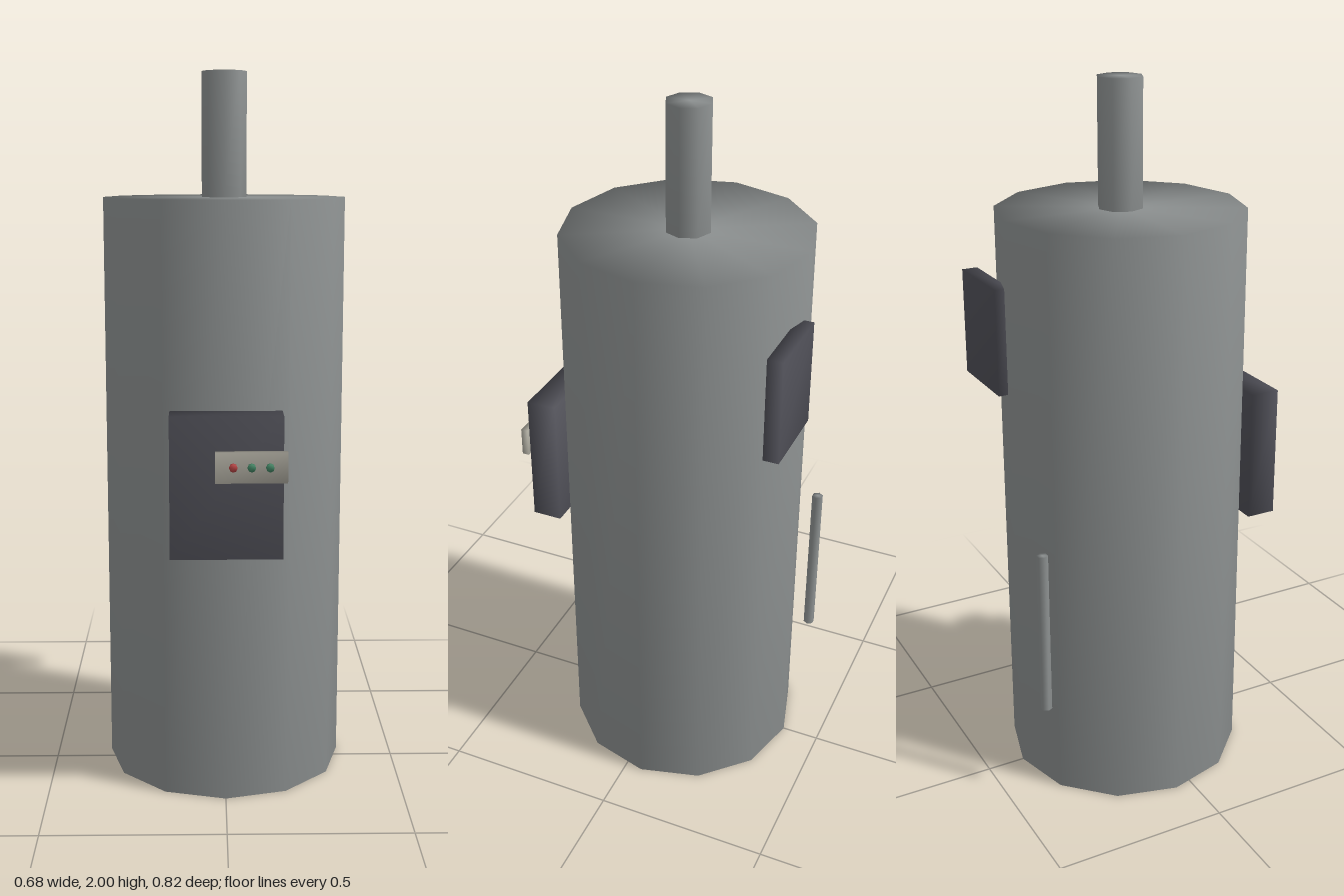
import * as THREE from 'three';
import { mergeVertices } from 'three/addons/utils/BufferGeometryUtils.js';

const mat = (color) => new THREE.MeshStandardMaterial({ color });

// Weld all corners so the low-poly forms shade smoothly across their edges
function soften(geometry) {
  geometry.deleteAttribute('uv');
  geometry.deleteAttribute('normal');
  const welded = mergeVertices(geometry, 1e-4);
  welded.computeVertexNormals();
  return welded;
}

export function createModel() {
  const group = new THREE.Group();
  const steel = mat(0x8e9292);
  const dark = mat(0x505058);
  const pale = mat(0xaaa79c);
  const red = mat(0xb04040);
  const green = mat(0x3f8060);

  function add(name, geometry, material, x, y, z) {
    const mesh = new THREE.Mesh(soften(geometry), material);
    mesh.name = name;
    mesh.position.set(x, y, z);
    group.add(mesh);
    return mesh;
  }
  const box = (name, material, w, h, d, x, y, z) =>
    add(name, new THREE.BoxGeometry(w, h, d), material, x, y, z);
  const rod = (name, material, r, h, sides, x, y, z, start = 0) =>
    add(name, new THREE.CylinderGeometry(r, r, h, sides, 1, false, start), material, x, y, z);

  // Tank and outlet pipe
  rod('tank', steel, 0.341, 1.656, 12, 0, 0.828, -0.05);
  rod('topPipe', steel, 0.063, 0.344, 8, 0, 1.828, -0.05);

  // Front control box with its button strip
  box('controlBox', dark, 0.3, 0.384, 0.086, 0, 0.913, 0.336);
  box('buttonStrip', pale, 0.19, 0.082, 0.02, 0.065, 0.973, 0.39);
  [red, green, green].forEach((material, i) => {
    const button = rod('button' + (i + 1), material, 0.011, 0.012, 8,
      0.017 + i * 0.048, 0.975, 0.406);
    button.rotation.x = Math.PI / 2;
  });

  // Rear plate and thin vertical gauge tube
  box('rearPlate', dark, 0.232, 0.298, 0.044, 0.136, 1.32, -0.391);
  rod('gaugeTube', steel, 0.016, 0.484, 6, -0.192, 0.537, -0.392, Math.PI / 2);

  return group;
}
